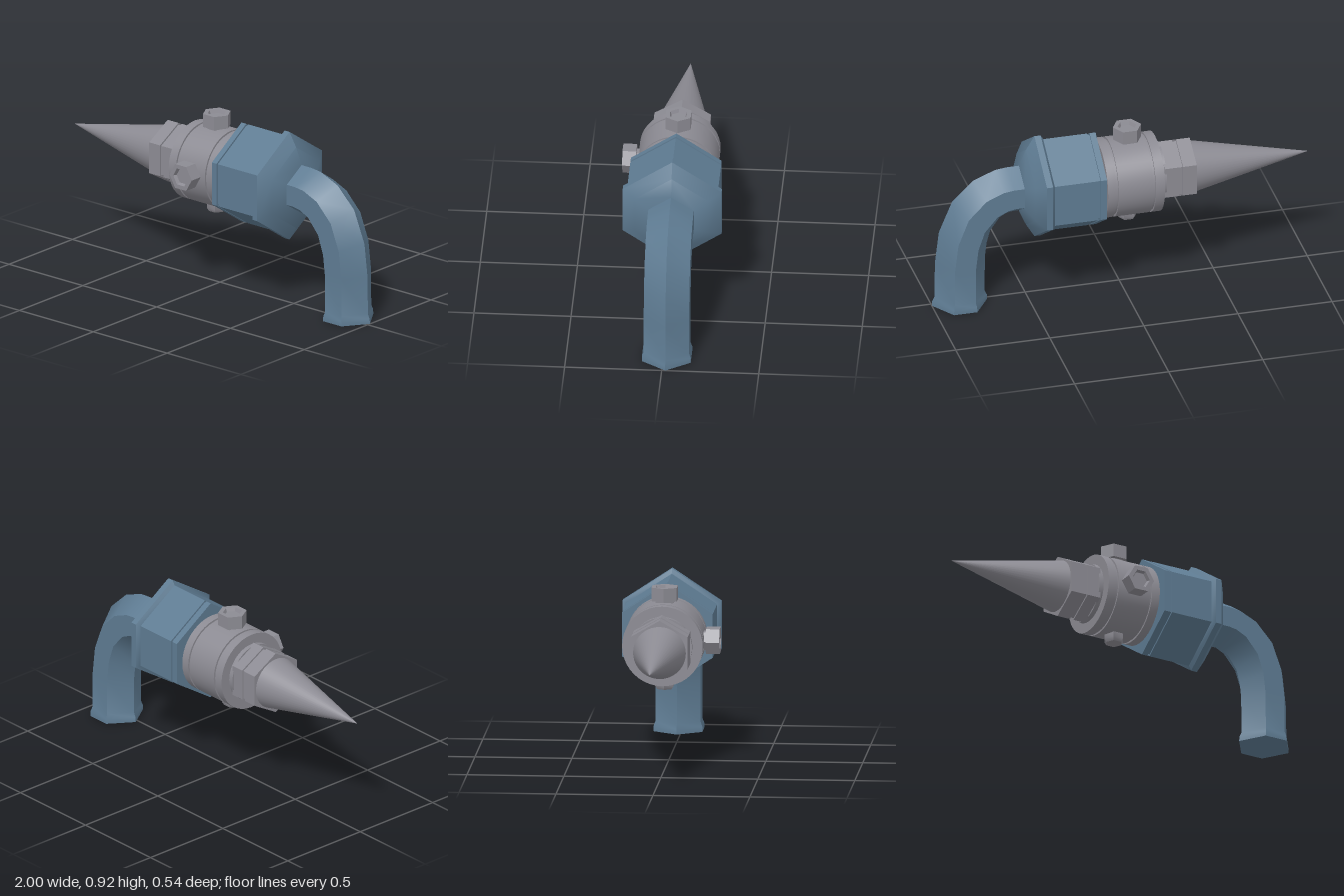
import * as THREE from 'three';
import { toCreasedNormals } from 'three/addons/utils/BufferGeometryUtils.js';

const AXIS_Y = 0.627, AXIS_Z = -0.018;

// Six-sided ring: u points to the apex, w is the half width in z, k the shoulder height
function hexRing(c, u, w, k) {
  return [[1, 0], [k, 1], [-k, 1], [-1, 0], [-k, -1], [k, -1]].map(([a, b]) =>
    new THREE.Vector3(c.x + u.x * a, c.y + u.y * a, AXIS_Z + w * b));
}

// Skin a row of rings and close both ends
function loft(rings) {
  const pos = [];
  const tri = (...p) => p.forEach((v) => pos.push(v.x, v.y, v.z));
  for (let i = 0; i < rings.length - 1; i++) {
    for (let j = 0; j < 6; j++) {
      const n = (j + 1) % 6, a = rings[i], b = rings[i + 1];
      tri(a[j], a[n], b[j]);
      tri(a[n], b[n], b[j]);
    }
  }
  const first = rings[0], last = rings[rings.length - 1];
  for (let j = 1; j < 5; j++) {
    tri(first[0], first[j + 1], first[j]);
    tri(last[0], last[j], last[j + 1]);
  }
  const g = new THREE.BufferGeometry();
  g.setAttribute('position', new THREE.Float32BufferAttribute(pos, 3));
  return toCreasedNormals(g, 0.6);
}

// Six-sided body along x from [x, radius] pairs
const hexBody = (profile, k) => loft(profile.map(([x, r]) =>
  hexRing({ x, y: AXIS_Y }, { x: 0, y: r }, r * 0.866, k)));

// Turned body from [radius, height] pairs
const turned = (profile, segments, start = 0) => toCreasedNormals(
  new THREE.LatheGeometry(profile.map(([r, h]) => new THREE.Vector2(r, h)), segments, start), 0.6);

export function createModel() {
  const group = new THREE.Group();
  const grey = new THREE.MeshStandardMaterial({ color: 0x8c8b93 });
  grey.name = 'steel grey';
  const blue = new THREE.MeshStandardMaterial({ color: 0x5e7b92 });
  blue.name = 'slate blue';
  const add = (name, geometry, material) => {
    const m = new THREE.Mesh(geometry, material);
    m.name = name;
    group.add(m);
    return m;
  };

  // Round parts lie along x
  const addRound = (name, profile) => {
    const m = add(name, turned(profile, 40), grey);
    m.rotation.z = -Math.PI / 2;
    m.position.set(0, AXIS_Y, AXIS_Z);
  };
  addRound('spike', [[0, -1], [0.136, -0.37], [0, -0.37]]);
  addRound('barrel', [
    [0, -0.21], [0.155, -0.21], [0.155, -0.185], [0.208, -0.185], [0.208, -0.137], [0.198, -0.137],
    [0.198, -0.125], [0.208, -0.125], [0.208, 0.06], [0.198, 0.06], [0.198, 0.072],
    [0.208, 0.072], [0.208, 0.117], [0.173, 0.117], [0.173, 0.14], [0, 0.14]]);

  // Hexagonal collar with a shallow groove
  add('collar', hexBody([[-0.37, 0.168], [-0.297, 0.168], [-0.297, 0.158],
    [-0.275, 0.158], [-0.275, 0.168], [-0.2, 0.168]], 0.5), grey);

  // Bolts with hexagonal sockets, on the top and the front
  const bolt = [[0, 0.18], [0.052, 0.18], [0.052, 0.215], [0.075, 0.215], [0.075, 0.286],
    [0.05, 0.286], [0.042, 0.268], [0, 0.268]];
  const plug = [[0, 0.18], [0.054, 0.18], [0.054, 0.23], [0.043, 0.247], [0, 0.247]];
  [['topBolt', bolt, 0], ['frontBolt', bolt, Math.PI / 2], ['bottomPlug', plug, Math.PI]]
    .forEach(([name, profile, turn]) => {
      const m = add(name, turned(profile, 6, Math.PI / 6), grey);
      m.rotation.x = turn;
      m.position.set(-0.037, AXIS_Y + (turn === Math.PI / 2 ? 0.008 : 0), AXIS_Z);
    });

  // Large six-sided housing with groove, flange and tapered end
  add('housing', hexBody([
    [0.13, 0.27], [0.162, 0.27], [0.162, 0.259], [0.175, 0.259], [0.175, 0.27], [0.408, 0.27],
    [0.422, 0.294], [0.455, 0.294], [0.5, 0.22], [0.537, 0.135]], 0.424), blue);

  // Elbow pipe: outer and inner bend points, with a flared foot
  const bend = [
    [0.5, 0.759, 0.5, 0.497], [0.6, 0.759, 0.57, 0.497], [0.665, 0.752, 0.605, 0.49],
    [0.78, 0.705, 0.64, 0.47], [0.893, 0.597, 0.69, 0.4], [0.963, 0.427, 0.709, 0.33],
    [0.984, 0.25, 0.718, 0.25], [0.986, 0.052, 0.72, 0.052],
    [0.998, 0.026, 0.708, 0.026], [1, 0, 0.706, 0]];
  add('elbowPipe', loft(bend.map(([ox, oy, ix, iy], i) => hexRing(
    { x: (ox + ix) / 2, y: (oy + iy) / 2 }, { x: (ox - ix) / 2, y: (oy - iy) / 2 },
    i < 8 ? 0.117 : 0.126, 0.42))), blue);

  return group;
}
